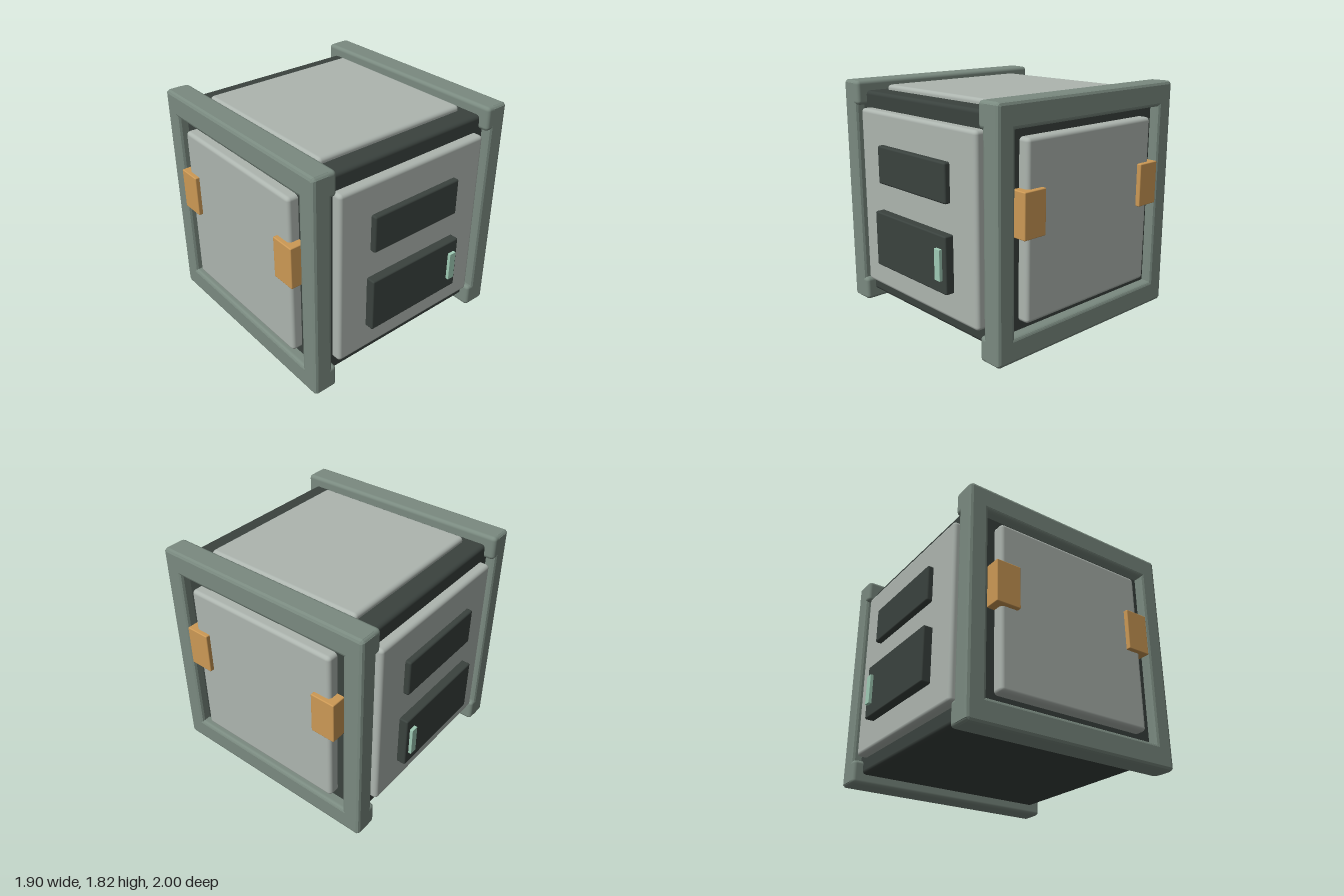
import * as THREE from 'three';
import { RoundedBoxGeometry } from 'three/addons/geometries/RoundedBoxGeometry.js';

const mat = (color) => new THREE.MeshStandardMaterial({ color });

export function createModel() {
  const group = new THREE.Group();
  const frameMat = mat(0x7a8a80), panelMat = mat(0xadb5af), coreMat = mat(0x3a423e);
  const clampMat = mat(0xcc9955), lightMat = mat(0x9fcbb5);

  // Rounded box given by its limits on each axis
  const box = (name, material, [x0, x1], [y0, y1], [z0, z1], r = 0.02) => {
    const mesh = new THREE.Mesh(new RoundedBoxGeometry(x1 - x0, y1 - y0, z1 - z0, 2, r), material);
    mesh.position.set((x0 + x1) / 2, (y0 + y1) / 2, (z0 + z1) / 2);
    mesh.name = name;
    group.add(mesh);
    return mesh;
  };
  // Limits mirrored to the given side of an axis
  const on = (side, a, b) => (side > 0 ? [a, b] : [-b, -a]);

  // Dark inner body and lid panel
  box('core', coreMat, [-0.83, 0.83], [0.09, 1.75], [-0.83, 0.83], 0.03);
  box('topPanel', panelMat, [-0.67, 0.67], [1.65, 1.79], [-0.67, 0.67], 0.03);

  // Side frame outline: square ring with clipped outer corners
  const bevel = 0.025, h = 0.91, c = 0.02;
  const ring = new THREE.Shape([
    [h - c, -h], [h, c - h], [h, h - c], [h - c, h],
    [c - h, h], [-h, h - c], [-h, c - h], [c - h, -h],
  ].map(([x, y]) => new THREE.Vector2(x, y)));
  const hz = 0.755, hy = 0.722;
  ring.holes.push(new THREE.Path([
    [-hz, -hy], [-hz, hy], [hz, hy], [hz, -hy],
  ].map(([x, y]) => new THREE.Vector2(x, y))));
  const ringGeo = new THREE.ExtrudeGeometry(ring, {
    depth: 0.155 - 2 * bevel, bevelThickness: bevel, bevelSize: bevel,
    bevelOffset: -bevel, bevelSegments: 2,
  });
  ringGeo.translate(0, 0, -(0.155 - 2 * bevel) / 2);
  ringGeo.rotateY(Math.PI / 2);

  for (const s of [1, -1]) {
    const side = s > 0 ? 'left' : 'right';
    const end = s > 0 ? 'front' : 'back';

    // Side frame with thicker top and bottom beams
    const frame = new THREE.Mesh(ringGeo, frameMat);
    frame.name = side + 'Frame';
    frame.position.set(s * 0.8325, 0.92, 0);
    group.add(frame);
    box(side + 'TopBeam', frameMat, on(s, 0.714, 0.91), [1.64, 1.83], [-0.91, 0.91], 0.03);
    box(side + 'BottomBeam', frameMat, on(s, 0.714, 0.91), [0.01, 0.2], [-0.91, 0.91], 0.03);

    // Side panel and its two clamps
    box(side + 'Panel', panelMat, on(s, 0.78, 0.915), [0.265, 1.575], [-0.65, 0.65], 0.03);
    for (const t of [1, -1]) {
      box(side + (t > 0 ? 'Front' : 'Back') + 'Clamp', clampMat,
        on(s, 0.82, 0.95), [0.895, 1.23], on(t, 0.51, 0.71), 0.008);
    }

    // End panel with plates and indicator light
    box(end + 'Panel', panelMat, [-0.69, 0.69], [0.21, 1.625], on(s, 0.78, 0.905), 0.03);
    box(end + 'UpperPlate', coreMat, [-0.41, 0.41], [1.08, 1.375], on(s, 0.86, 0.95), 0.015);
    box(end + 'LowerPlate', coreMat, [-0.435, 0.435], [0.425, 0.86], on(s, 0.86, 0.975), 0.012);
    box(end + 'Light', lightMat, [0.335, 0.395], [0.525, 0.76], on(s, 0.94, 1), 0.002);
  }
  return group;
}
